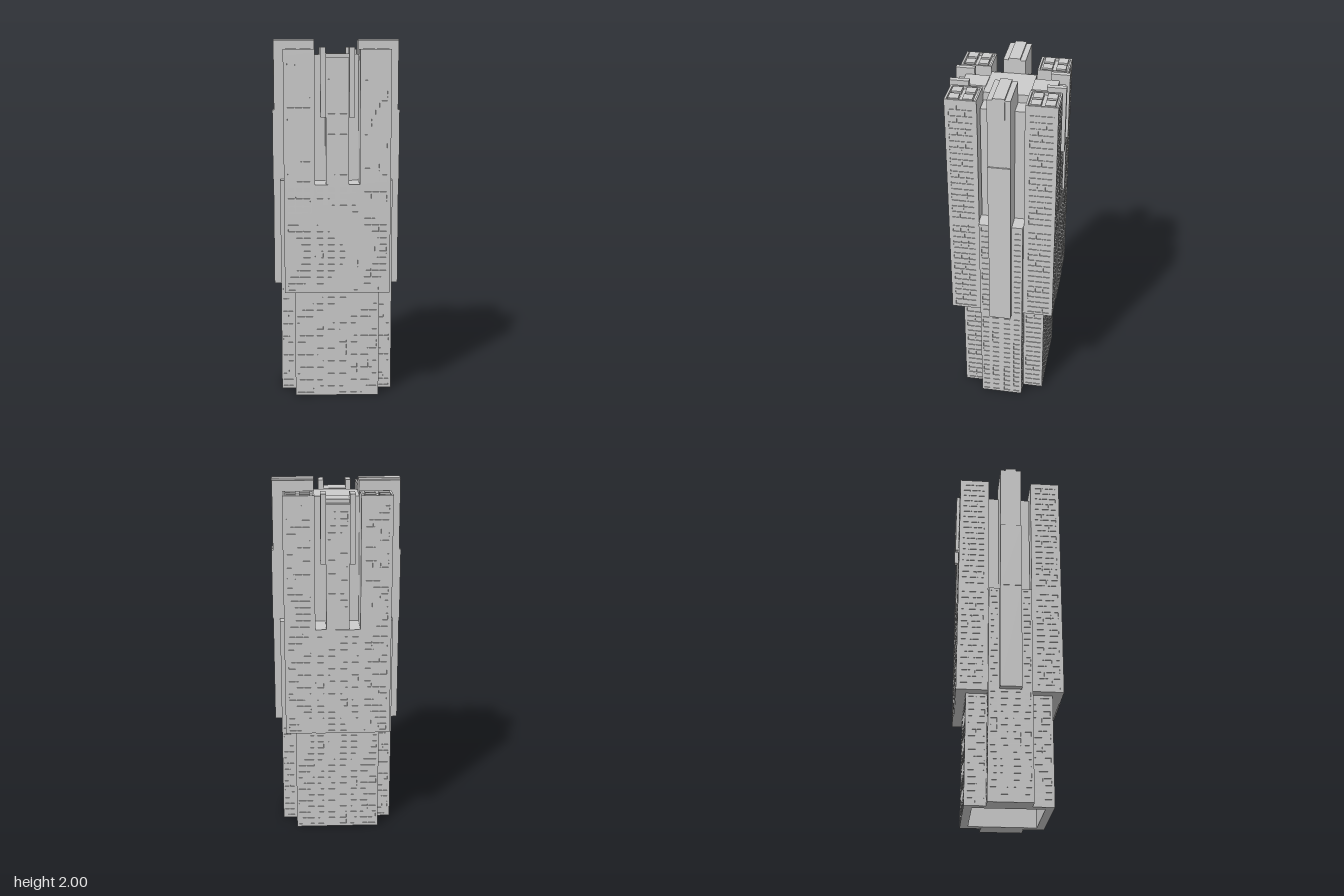
import * as THREE from 'three';

const D = 0.004; // depth of the window reveals
const mat = new THREE.MeshStandardMaterial({ color: 0xcccccc, flatShading: true });

function rectPath(Type, x0, y0, x1, y1) {
  const p = new Type();
  p.moveTo(x0, y0); p.lineTo(x1, y0); p.lineTo(x1, y1); p.lineTo(x0, y1); p.closePath();
  return p;
}

export function createModel() {
  const model = new THREE.Group();
  model.name = 'tower';

  let seed = 7;
  const rand = () => (seed = (seed * 16807) % 2147483647) / 2147483647;

  function add(name, geometry) {
    const mesh = new THREE.Mesh(geometry, mat);
    mesh.name = name;
    model.add(mesh);
    return mesh;
  }

  // box given by its limits
  function block(name, x0, x1, y0, y1, z0, z1) {
    const m = add(name, new THREE.BoxGeometry(Math.abs(x1 - x0), y1 - y0, Math.abs(z1 - z0)));
    m.position.set((x0 + x1) / 2, (y0 + y1) / 2, (z0 + z1) / 2);
    return m;
  }

  // thin facade sheet with window holes; bays are [start, end, panes] across the face
  function facade(name, angle, offset, u0, u1, y0, y1, bays) {
    const shape = rectPath(THREE.Shape, u0, y0, u1, y1);
    const rows = Math.round((y1 - y0 - 0.02) / 0.037);
    const pitch = (y1 - y0 - 0.02) / rows;
    for (let r = 0; r < rows; r++) {
      const yb = y0 + 0.01 + pitch * (r + 0.17), yt = yb + pitch * 0.66;
      for (const [a, b, panes] of bays) {
        const n = panes > 1 && rand() < 0.2 ? panes - 1 : panes; // some rows have wider panes
        const step = (b - a) / n;
        for (let i = 0; i < n; i++) {
          shape.holes.push(rectPath(THREE.Path, a + step * i + 0.003, yb, a + step * (i + 1) - 0.003, yt));
        }
      }
    }
    const geometry = new THREE.ExtrudeGeometry(shape, { depth: D, bevelEnabled: false });
    geometry.translate(0, 0, offset - D);
    geometry.rotateY(angle);
    add(name, geometry);
  }

  const mirrorBays = bays => [...bays, ...bays.map(([a, b, n]) => [-b, -a, n])];
  const FRONT_BACK = [0, Math.PI];
  const SIDES = [Math.PI / 2, -Math.PI / 2];
  const centreBays = [[0.012, 0.055, 1], [0.075, 0.115, 1]];
  const towerBay = [[0.145, 0.272, 3]];

  // hollow cross-shaped base
  const y1 = 0.615, y2 = 1.22;
  const a = 0.235 - D, w = 0.315 - D, c = 0.12 - D;
  const plan = new THREE.Shape([
    [-a, -a], [a, -a], [a, -c], [w, -c], [w, c], [a, c],
    [a, a], [-a, a], [-a, c], [-w, c], [-w, -c], [-a, -c],
  ].map(([x, y]) => new THREE.Vector2(x, y)));
  plan.holes.push(rectPath(THREE.Path, -0.19, -0.19, 0.19, 0.19));
  const baseGeometry = new THREE.ExtrudeGeometry(plan, { depth: y1, bevelEnabled: false });
  baseGeometry.rotateX(-Math.PI / 2);
  add('baseWalls', baseGeometry);

  // base facades
  for (const angle of FRONT_BACK) {
    facade('baseFacade', angle, 0.235, -0.235, 0.235, 0, y1, mirrorBays([...centreBays, [0.13, 0.225, 2]]));
    for (const s of [1, -1]) {
      const [u0, u1] = s > 0 ? [0.235, 0.315] : [-0.315, -0.235];
      facade('baseWingReturn', angle, 0.12, u0, u1, 0, y1, [[u0 + 0.008, u1 - 0.012, 2]]);
    }
  }
  for (const angle of SIDES) {
    facade('baseWingFacade', angle, 0.315, -c, c, 0, y1, mirrorBays([[0.012, 0.055, 1], [0.07, 0.11, 1]]));
    for (const s of [1, -1]) {
      const [u0, u1] = s > 0 ? [0.12, a] : [-a, -0.12];
      facade('baseSideFacade', angle, 0.235, u0, u1, 0, y1, [[u0 + 0.01, u1 - 0.008, 2]]);
    }
  }

  // middle tier
  const m = 0.29 - D;
  block('middleBody', -m, m, y1, y2, -m, m);
  block('middleWings', -w, w, y1, y2, -0.12, 0.12);
  for (const angle of FRONT_BACK) {
    facade('middleCentreFacade', angle, 0.293, -0.122, 0.122, y1, y2, mirrorBays(centreBays));
  }
  for (const angle of SIDES) {
    for (const s of [1, -1]) {
      const [u0, u1] = s > 0 ? [0.06, 0.12] : [-0.12, -0.06];
      facade('middleWingFacade', angle, 0.315, u0, u1, y1, y2, [[u0 + 0.01, u1 - 0.008, 1]]);
    }
  }

  // upper core, recessed between the corner towers
  block('recessedCore', -0.22, 0.22, y2, 1.87, -0.12, 0.12);
  block('core', -0.122, 0.122, y2, 1.915, -0.122, 0.122);

  // central bays on front and back
  for (const [i, s] of [1, -1].entries()) {
    block('centreBay', -0.0625, 0.0625, y2, 1.9, s * 0.12, s * (0.285 - D));
    block('centreBayRoof', -0.0625, 0.0625, 1.9, 1.92, s * 0.12, s * 0.25);
    facade('centreBayFacade', FRONT_BACK[i], 0.285, -0.0625, 0.0625, y2, 1.9, mirrorBays([[0.01, 0.054, 1]]));
    for (const sx of [1, -1]) {
      block('pier', sx * 0.0625, sx * 0.092, 1.585, 1.955, s * 0.203, s * 0.305);
    }
  }

  // tall fins on both sides
  for (const s of [1, -1]) {
    block('finLower', s * 0.12, s * 0.354, y1, 1.22, -0.06, 0.06);
    block('finMiddle', s * 0.12, s * 0.357, 1.22, 1.61, -0.06, 0.06);
    block('finUpper', s * 0.122, s * 0.348, 1.61, 1.99, -0.06, 0.06);
    block('finCap', s * 0.122, s * 0.35, 1.61, 2, -0.031, 0.031);
  }

  // corner towers with parapets and roof hatches
  for (const sx of [1, -1]) {
    for (const sz of [1, -1]) {
      block('cornerTower', sx * 0.122, sx * m, y2, 1.93, sz * 0.124, sz * m);
      const rim = rectPath(THREE.Shape, 0.122, 0.124, 0.29, 0.29);
      rim.holes.push(rectPath(THREE.Path, 0.133, 0.135, 0.28, 0.281));
      const rimGeometry = new THREE.ExtrudeGeometry(rim, { depth: 0.015, bevelEnabled: false });
      rimGeometry.rotateX(-Math.PI / 2);
      rimGeometry.translate(-0.206, 1.93, 0.207);
      const parapet = add('parapet', rimGeometry);
      parapet.position.set(sx * 0.206, 0, sz * 0.207);
      for (const x of [0.171, 0.247]) {
        for (const z of [0.173, 0.246]) {
          block('roofHatch', sx * (x - 0.027), sx * (x + 0.03), 1.93, 1.948, sz * (z - 0.026), sz * (z + 0.026));
        }
      }
    }
  }

  // tower windows, middle and upper tiers, on all four sides
  for (const angle of [...FRONT_BACK, ...SIDES]) {
    const edge = SIDES.includes(angle) ? m : 0.29;
    for (const [from, to] of [[y1, y2], [y2, 1.93]]) {
      facade('towerFacade', angle, 0.29, 0.122, edge, from, to, towerBay);
      facade('towerFacade', angle, 0.29, -edge, -0.122, from, to, [[-0.272, -0.145, 3]]);
    }
  }
  return model;
}
